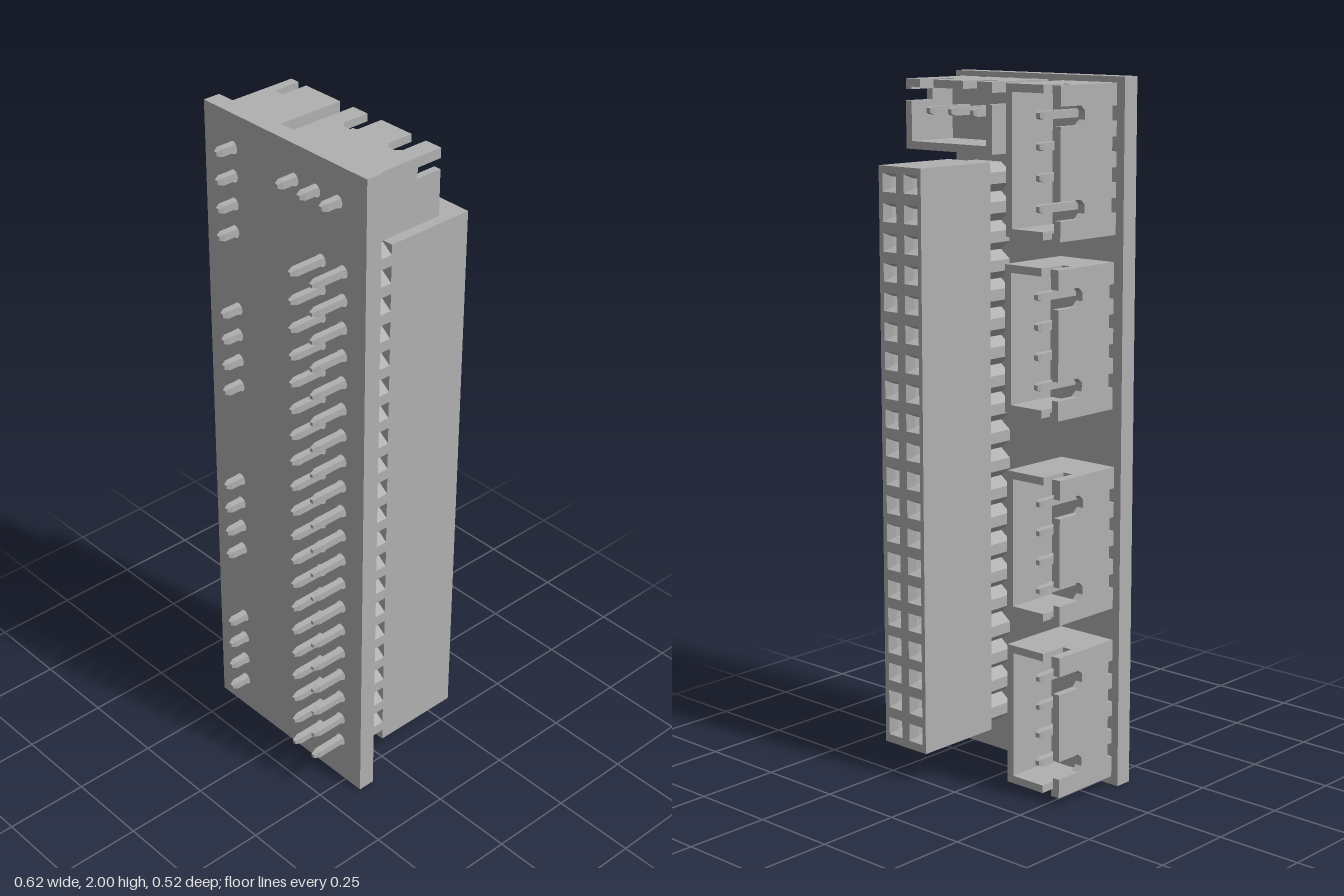
import * as THREE from 'three';

const grey = new THREE.MeshStandardMaterial({ color: 0xb0b0b0, flatShading: true, side: THREE.DoubleSide });
grey.name = 'plain grey';

const BACK = 0.095;   // rear face of the board
const FRONT = 0.147;  // front face of the board
const PITCH = 0.0822;
const H = 0.228;      // shroud height above the board

const V = (x, y, z) => new THREE.Vector3(x, y, z);

function add(parent, geometry, name, x = 0, y = 0, z = 0) {
  const mesh = new THREE.Mesh(geometry, grey);
  mesh.name = name;
  mesh.position.set(x, y, z);
  parent.add(mesh);
  return mesh;
}

function polygon(points) {
  return new THREE.Shape(points.map(([x, y]) => new THREE.Vector2(x, y)));
}

function squarePath(x, y, s) {
  const h = s / 2;
  const p = new THREE.Path();
  p.moveTo(x - h, y - h).lineTo(x - h, y + h).lineTo(x + h, y + h).lineTo(x + h, y - h).closePath();
  return p;
}

const extrude = (shape, depth) =>
  new THREE.ExtrudeGeometry(shape, { depth, bevelEnabled: false, curveSegments: 8 });

// Square pin along z with a tapered front tip
function pinGeometry(z0, z1, width, taper) {
  const r = width / Math.SQRT2;
  const profile = [[0, z0], [r * 0.6, z0], [r, z0 + 0.012], [r, z1 - taper], [r * 0.5, z1], [0, z1]];
  const g = new THREE.LatheGeometry(profile.map(([x, y]) => new THREE.Vector2(x, y)), 4);
  return g.rotateY(Math.PI / 4).rotateX(Math.PI / 2);
}

const shroudPin = pinGeometry(-0.127, 0.205, 0.022, 0.015);
const headerPin = pinGeometry(0, 0.256, 0.021, 0.02);

// Shrouded pin connector; the slotted wall faces +y, origin on the pin row
function createShroud(count) {
  const g = new THREE.Group();
  const half = (count - 1) * PITCH / 2 + 0.0805;
  const yLow = -0.108, yHigh = 0.085, t = 0.022;
  const pins = Array.from({ length: count }, (_, i) => (i - (count - 1) / 2) * PITCH);

  // Wall with two latch slots on its rim and small vents along its foot
  const outline = [[-half, 0]];
  for (const u of pins) {
    outline.push([u - 0.02, 0], [u - 0.02, 0.018], [u + 0.02, 0.018], [u + 0.02, 0]);
  }
  outline.push([half, 0], [half, H]);
  for (const u of [pins[count - 1], pins[0]]) {
    outline.push([u + 0.026, H], [u + 0.026, 0.147], [u + 0.012, 0.131],
      [u - 0.012, 0.131], [u - 0.026, 0.147], [u - 0.026, H]);
  }
  outline.push([-half, H]);
  add(g, extrude(polygon(outline), t).rotateX(-Math.PI / 2), 'slottedWall', 0, yHigh - t, BACK);

  // Plain wall opposite
  add(g, new THREE.BoxGeometry(half * 2, t, H), 'plainWall', 0, yLow + t / 2, BACK - H / 2);

  // End walls, each with one narrow slot
  const endOutline = polygon([[yLow + t, 0], [yHigh - t, 0], [yHigh - t, H], [0.056, H],
    [0.056, 0.145], [0.025, 0.145], [0.025, H], [yLow + t, H]]);
  const basis = new THREE.Matrix4().makeBasis(V(0, 1, 0), V(0, 0, -1), V(-1, 0, 0));
  const endGeometry = extrude(endOutline, t).applyMatrix4(basis);
  add(g, endGeometry, 'endWall', half, 0, BACK);
  add(g, endGeometry, 'endWall', -half + t, 0, BACK);

  // Floor and pins
  add(g, new THREE.BoxGeometry(2 * (half - t), yHigh - yLow - 2 * t, 0.047), 'shroudFloor',
    0, (yHigh + yLow) / 2, BACK - 0.0415);
  for (const u of pins) add(g, shroudPin, 'shroudPin', u);
  return g;
}

// Two-column, twenty-row socket header
function createHeader(rows, cols) {
  const g = new THREE.Group();
  g.name = 'socketHeader';
  const [x0, x1, y0, y1] = [0.104, 0.266, 0.09, 1.755];
  const block = (size) => {
    const s = polygon([[x0, y0], [x1, y0], [x1, y1], [x0, y1]]);
    if (size) for (const x of cols) for (const y of rows) s.holes.push(squarePath(x, y, size));
    return s;
  };
  add(g, extrude(block(0.052), 0.024), 'socketFace', 0, 0, -0.26);
  add(g, extrude(block(0.03), 0.106), 'socketBody', 0, 0, -0.236);
  add(g, extrude(block(0), 0.145), 'socketBase', 0, 0, -0.13);

  // Scalloped foot: one faceted bump per row on both sides
  const right = [], left = [];
  for (const y of rows) {
    for (const [dy, inset] of [[-0.041, 0.033], [-0.016, 0], [0.016, 0], [0.041, 0.033]]) {
      right.push([x1 - inset, y + dy]);
      left.unshift([x0 + inset, y + dy]);
    }
  }
  add(g, extrude(polygon([...right, ...left]), BACK - 0.015), 'scallopedFoot', 0, 0, 0.015);

  // Funnel entries and pins
  const funnel = new THREE.CylinderGeometry(0.015 * Math.SQRT2, 0.026 * Math.SQRT2, 0.024, 4, 1, true)
    .rotateY(Math.PI / 4).rotateX(Math.PI / 2);
  for (const x of cols) {
    for (const y of rows) {
      add(g, funnel, 'socketFunnel', x, y, -0.248);
      add(g, headerPin, 'headerPin', x, y, 0);
    }
  }
  return g;
}

export function createModel() {
  const model = new THREE.Group();
  model.name = 'connectorBoard';
  const rows = Array.from({ length: 20 }, (_, i) => 0.14 + i * 0.0826);
  const cols = [0.143, 0.225];

  // Pin-row centres: x, y, pin count, turn about z
  const shrouds = [
    [-0.2, 1.78, 4, Math.PI / 2],
    [-0.195, 1.298, 4, Math.PI / 2],
    [-0.203, 0.728, 4, Math.PI / 2],
    [-0.204, 0.228, 4, Math.PI / 2],
    [0.122, 1.9, 3, 0],
  ];

  // Board with round plated holes
  const board = polygon([[-0.312, 0], [0.312, 0], [0.312, 2], [-0.312, 2]]);
  const drill = (x, y) => board.holes.push(new THREE.Path().absarc(x, y, 0.019, 0, Math.PI * 2, true));
  for (const x of cols) rows.forEach((y) => drill(x, y));
  for (const [x, y, count, turn] of shrouds) {
    for (let i = 0; i < count; i++) {
      const u = (i - (count - 1) / 2) * PITCH;
      drill(x + u * Math.cos(turn), y + u * Math.sin(turn));
    }
  }
  add(model, extrude(board, FRONT - BACK), 'board', 0, 0, BACK);

  model.add(createHeader(rows, cols));
  for (const [x, y, count, turn] of shrouds) {
    const shroud = createShroud(count);
    shroud.name = count === 3 ? 'topConnector' : 'sideConnector';
    shroud.position.set(x, y, 0);
    shroud.rotation.z = turn;
    model.add(shroud);
  }
  return model;
}
